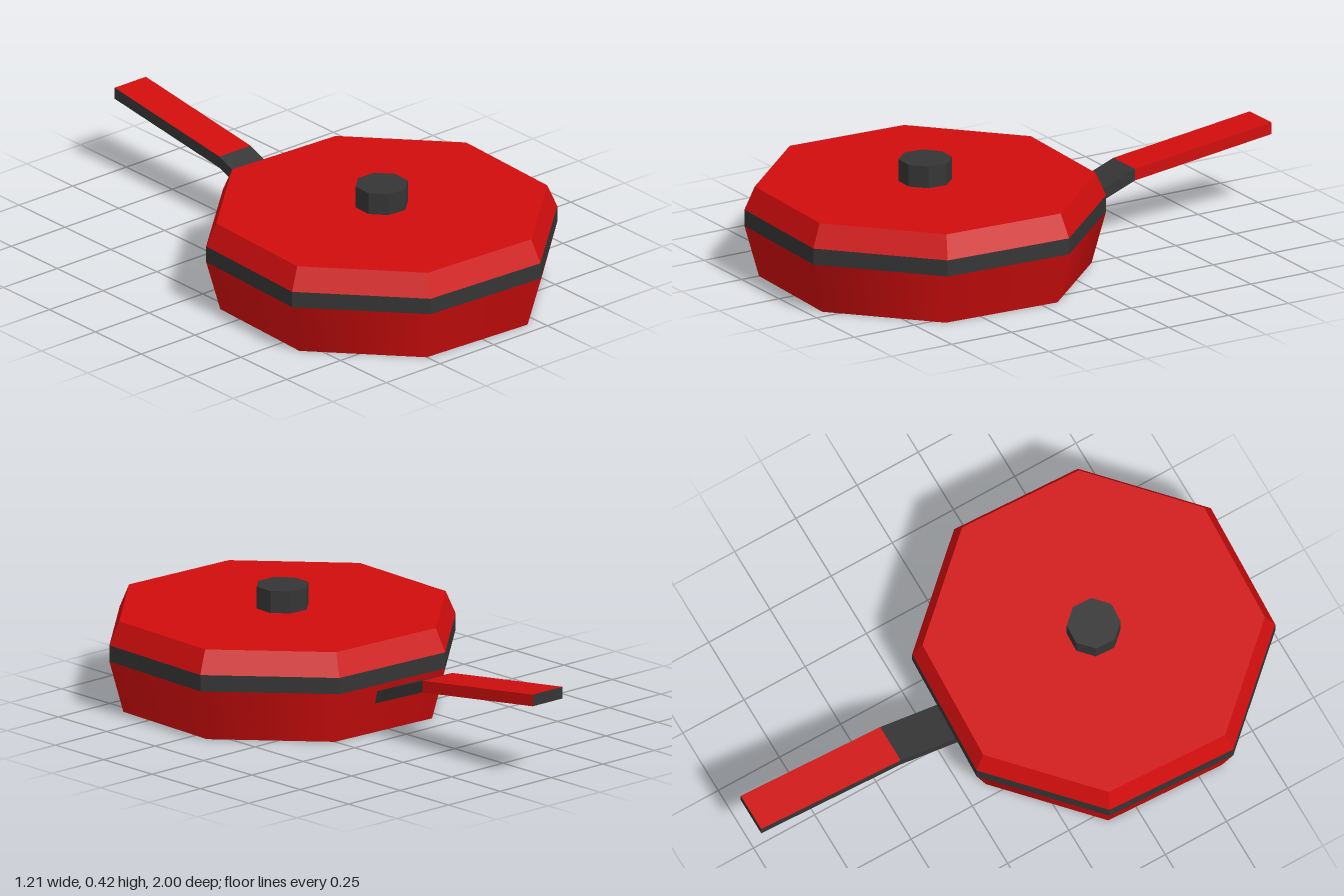
import * as THREE from 'three';

export function createModel() {
  const model = new THREE.Group();
  model.name = 'lidded pan';

  const mat = (name, color) => {
    const m = new THREE.MeshStandardMaterial({ color });
    m.name = name;
    return m;
  };
  const red = mat('red enamel', 0xd10d0d);
  const black = mat('charcoal', 0x353535);

  const SIDES = 8;
  const TURN = THREE.MathUtils.degToRad(20); // all octagons share this twist
  const CENTRE_Z = 0.39;

  // Octagonal ring from y0 to y1; facets are split for crisp shading unless smooth
  function octagon(name, rBottom, rTop, y0, y1, material, smooth = false) {
    let geo = new THREE.CylinderGeometry(rTop, rBottom, y1 - y0, SIDES, 1, false, TURN);
    if (!smooth) {
      geo = geo.toNonIndexed();
      geo.computeVertexNormals();
      geo.clearGroups();
    }
    const mesh = new THREE.Mesh(geo, material);
    mesh.name = name;
    mesh.position.set(0, (y0 + y1) / 2, CENTRE_Z);
    model.add(mesh);
  }

  octagon('panBody', 0.593, 0.645, 0, 0.19, red, true);
  octagon('rimBand', 0.645, 0.645, 0.19, 0.25, black);
  octagon('lid', 0.645, 0.608, 0.25, 0.335, red);
  octagon('lidKnob', 0.096, 0.096, 0.335, 0.416, black);

  // Handle bar sheared between two end points [z, y] on its centre line
  function handleBar(name, start, end, materials) {
    const geo = new THREE.BoxGeometry(0.145, 0.043, 1);
    const p = geo.attributes.position;
    for (let i = 0; i < p.count; i++) {
      const [z, y] = p.getZ(i) > 0 ? start : end;
      p.setXYZ(i, p.getX(i) + 0.018, p.getY(i) + y, z);
    }
    geo.computeVertexNormals();
    const mesh = new THREE.Mesh(geo, materials);
    mesh.name = name;
    model.add(mesh);
  }

  handleBar('handleNeck', [-0.16, 0.13], [-0.43, 0.232], black);
  // Grip: red on top and on the left side, charcoal elsewhere
  handleBar('handleGrip', [-0.43, 0.232], [-1, 0.303], [red, black, red, black, black, black]);

  return model;
}
